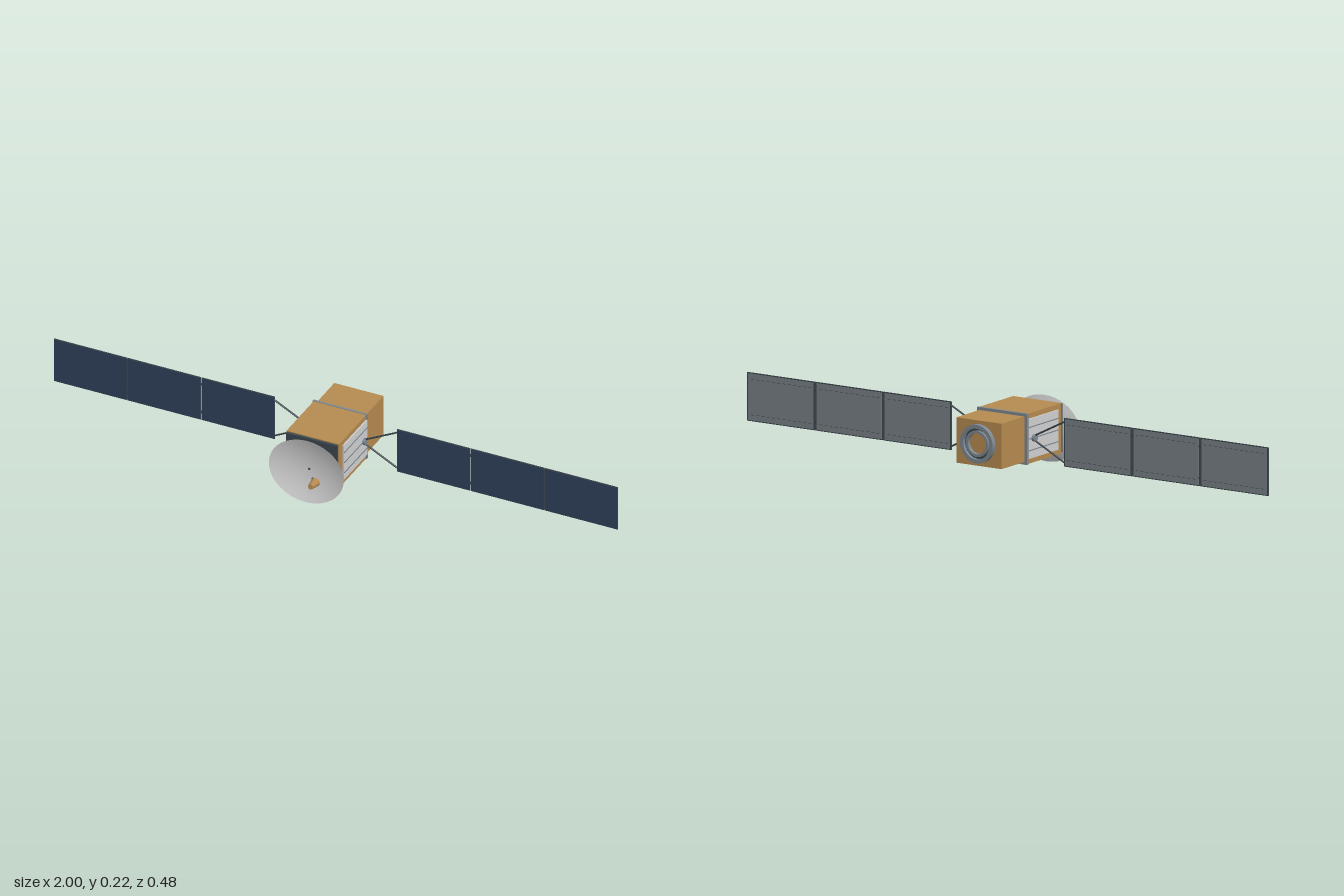
import * as THREE from 'three';

export function createModel() {
  const root = new THREE.Group();
  const mat = (name, color, side = THREE.FrontSide) => {
    const m = new THREE.MeshStandardMaterial({ color, side });
    m.name = name;
    return m;
  };
  const foil = mat('gold foil', 0xb58a50);
  const white = mat('light grey', 0xd0d0d0, THREE.DoubleSide);
  const metal = mat('grey metal', 0x7d8891, THREE.DoubleSide);
  const dark = mat('dark metal', 0x3c464d);
  const cell = mat('solar blue', 0x2f3f59);
  const backing = mat('panel backing grey', 0x788085);
  const CY = 0.132; // height of the body axis
  const WING_Z = -0.058;

  const add = (name, geo, material, parent = root) => {
    const m = new THREE.Mesh(geo, material);
    m.name = name;
    parent.add(m);
    return m;
  };
  // box given by its limits on each axis
  const box = (name, material, [x0, x1], [y0, y1], [z0, z1], parent = root) =>
    add(name, new THREE.BoxGeometry(x1 - x0, y1 - y0, z1 - z0)
      .translate((x0 + x1) / 2, (y0 + y1) / 2, (z0 + z1) / 2), material, parent);
  // tapered rod from a (radius ra) to b (radius rb)
  const rod = (name, material, a, b, ra, rb = ra, sides = 10, parent = root) => {
    const A = new THREE.Vector3(...a), B = new THREE.Vector3(...b);
    const dir = B.clone().sub(A);
    const m = add(name, new THREE.CylinderGeometry(rb, ra, dir.length(), sides), material, parent);
    m.position.copy(A).add(B).multiplyScalar(0.5);
    m.quaternion.setFromUnitVectors(new THREE.Vector3(0, 1, 0), dir.normalize());
    return m;
  };

  // body
  box('frontBody', foil, [-0.093, 0.093], [0.05, 0.214], [-0.09, 0.109]);
  box('rearBody', foil, [-0.087, 0.087], [0.058, 0.206], [-0.223, -0.09]);
  box('bodyFlange', metal, [-0.096, 0.096], [0.049, 0.2155], [-0.093, -0.085]);
  box('frontPlate', dark, [-0.09, 0.09], [0.053, 0.211], [0.108, 0.118]);

  // rear ring: two nested collars around a foil centre
  const collar = (name, ri, ro, z0, z1, material) => {
    const s = new THREE.Shape().absarc(0, 0, ro, 0, Math.PI * 2);
    s.holes.push(new THREE.Path().absarc(0, 0, ri, 0, Math.PI * 2, true));
    const g = new THREE.ExtrudeGeometry(s, { depth: z1 - z0, bevelEnabled: false, curveSegments: 18 });
    add(name, g, material).position.set(0, CY, z0);
  };
  collar('outerRing', 0.05, 0.063, -0.239, -0.222, metal);
  collar('ringRecess', 0.042, 0.051, -0.228, -0.222, dark);
  collar('innerRing', 0.034, 0.043, -0.236, -0.222, metal);

  // dish: shallow bowl with an oval rim, tilted slightly upwards
  const profile = [];
  for (let i = 0; i <= 10; i++) profile.push(new THREE.Vector2(i / 10, 0.021 * (i / 10) ** 2));
  const dishGeo = new THREE.LatheGeometry(profile, 40);
  dishGeo.rotateX(Math.PI / 2).scale(0.133, 0.1105, 1);
  dishGeo.computeVertexNormals();
  const dish = add('dish', dishGeo, white);
  dish.position.set(0, 0.111, 0.135);
  dish.rotation.x = -0.073;
  rod('dishMount', dark, [0, 0.104, 0.115], [0, 0.111, 0.136], 0.004);

  // feed horn on its boom
  rod('feedBoom', dark, [0.0, 0.072, 0.116], [0.055, 0.106, 0.205], 0.0035);
  rod('feedHorn', foil, [0.054, 0.113, 0.2], [0.056, 0.117, 0.239], 0.015, 0.009, 16);

  for (const s of [-1, 1]) {
    const span = (a, b) => (s > 0 ? [a, b] : [-b, -a]);

    // radiator on the side of the body
    const radiator = new THREE.Group();
    radiator.name = s > 0 ? 'leftRadiator' : 'rightRadiator';
    root.add(radiator);
    box('radiatorPanel', white, span(0.092, 0.098), [0.067, 0.197], [-0.085, 0.085], radiator);
    for (const y of [0.094, 0.132, 0.17])
      box('radiatorPipe', metal, span(0.097, 0.1), [y - 0.0015, y + 0.0015], [-0.084, 0.082], radiator);

    // solar wing: hub, forked yoke and three panels
    const wing = new THREE.Group();
    wing.name = s > 0 ? 'leftWing' : 'rightWing';
    root.add(wing);
    rod('wingHub', metal, [s * 0.092, CY, WING_Z], [s * 0.108, CY, WING_Z], 0.0115, 0.0115, 16, wing);
    for (const v of [-1, 1])
      rod('yokeArm', dark, [s * 0.103, CY + v * 0.008, WING_Z], [s * 0.22, CY + v * 0.068, WING_Z],
        0.003, 0.003, 8, wing);

    for (let i = 0; i < 3; i++) {
      const x0 = 0.217 + i * 0.262, x1 = x0 + 0.259;
      box('panelFrame', dark, span(x0, x1), [0.053, 0.211], [WING_Z - 0.002, WING_Z + 0.002], wing);
      box('solarCells', cell, span(x0 + 0.001, x1 - 0.001), [0.055, 0.209],
        [WING_Z + 0.002, WING_Z + 0.003], wing);
      box('panelBack', backing, span(x0 + 0.004, x1 - 0.004), [0.056, 0.208],
        [WING_Z - 0.003, WING_Z - 0.002], wing);
      // dashed seams along the back
      for (const y of [0.074, 0.19])
        for (let k = 0; k < 12; k++) {
          const d = x0 + 0.012 + k * 0.02;
          box('backSeam', dark, span(d, d + 0.011), [y - 0.0008, y + 0.0008],
            [WING_Z - 0.0034, WING_Z - 0.003], wing);
        }
      // hinges bridging to the next panel
      if (i < 2)
        for (const y of [0.08, 0.184])
          box('panelHinge', dark, span(x1 - 0.003, x1 + 0.006), [y - 0.004, y + 0.004],
            [WING_Z - 0.004, WING_Z], wing);
    }
  }
  return root;
}
